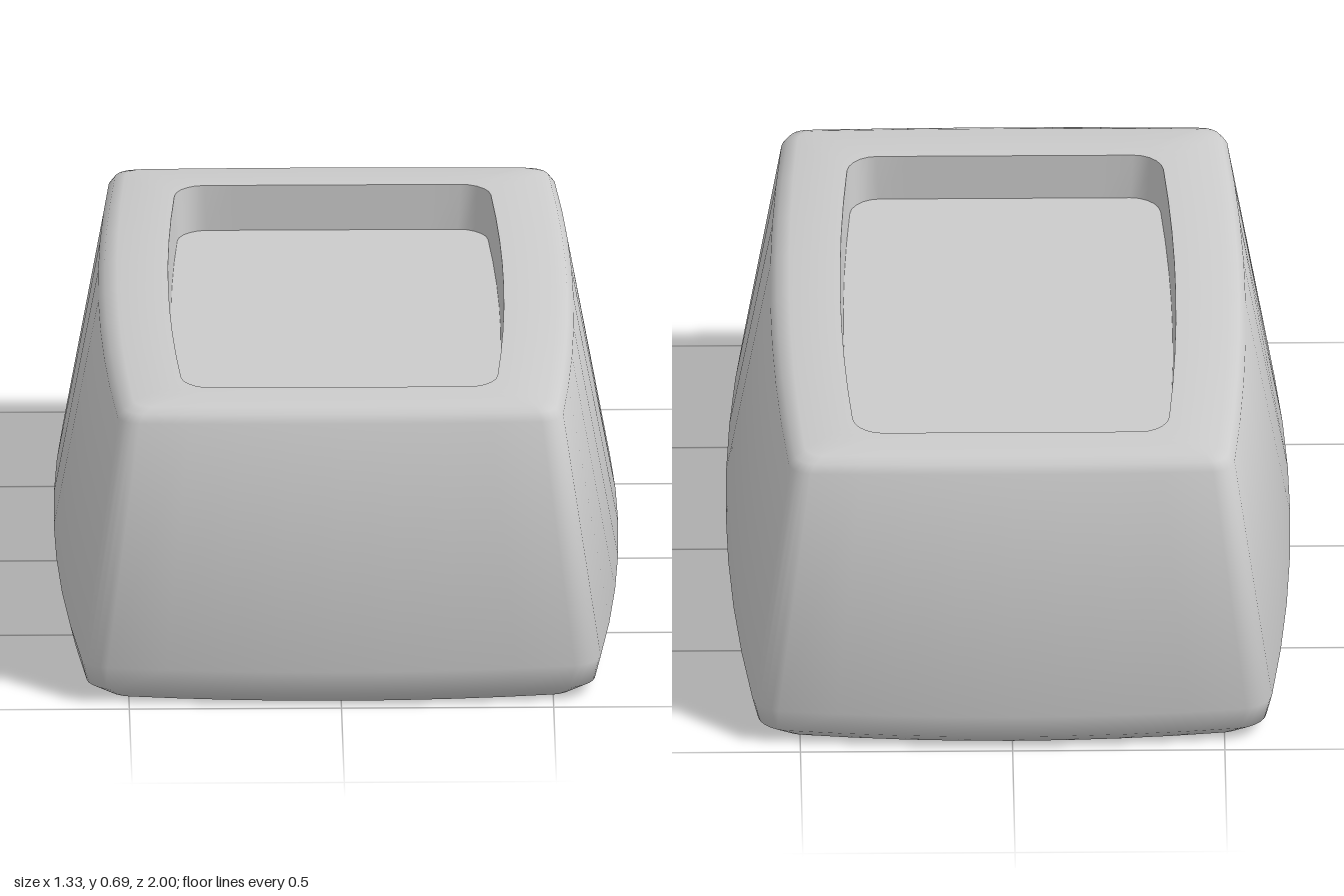
import * as THREE from 'three';
import { toCreasedNormals } from 'three/addons/utils/BufferGeometryUtils.js';

const SIDE = 8, ARC = 5;

// Rounded rectangle whose four sides bow outward; hx, hz are the half sizes at mid-side.
function outline({ y, hx, hz, bx, bz, r, zc = 0 }) {
  const pts = [];
  const corners = [[1, 1], [-1, 1], [-1, -1], [1, -1]];
  corners.forEach(([sx, sz], k) => {
    const cx = sx * (hx - r), cz = sz * (hz - r);
    for (let i = 0; i <= ARC; i++) {
      const a = (k + i / ARC) * Math.PI / 2;
      pts.push([cx + r * Math.cos(a), cz + r * Math.sin(a)]);
    }
    const [nx, nz] = corners[(k + 1) % 4];
    const a = (k + 1) * Math.PI / 2;
    const from = pts[pts.length - 1];
    const to = [nx * (hx - r) + r * Math.cos(a), nz * (hz - r) + r * Math.sin(a)];
    for (let i = 1; i < SIDE; i++) {
      const t = i / SIDE;
      pts.push([from[0] + (to[0] - from[0]) * t, from[1] + (to[1] - from[1]) * t]);
    }
  });
  return pts.map(([x, z]) => [
    x * (1 - bx * (z / hz) ** 2), y, z * (1 - bz * (x / hx) ** 2) + zc,
  ]);
}

// Skin a stack of outlines, optionally closing the first and last with a centre point.
function loft(sections, capStart, capEnd) {
  const rings = sections.map(outline), n = rings[0].length;
  const pos = rings.flat(2), idx = [];
  for (let j = 0; j < rings.length - 1; j++) {
    for (let i = 0; i < n; i++) {
      const a = j * n + i, b = j * n + (i + 1) % n;
      idx.push(a, a + n, b, b, a + n, b + n);
    }
  }
  const cap = (j, flip) => {
    const c = pos.length / 3, s = sections[j];
    pos.push(0, s.y, s.zc || 0);
    for (let i = 0; i < n; i++) {
      const a = j * n + i, b = j * n + (i + 1) % n;
      if (flip) idx.push(c, a, b); else idx.push(c, b, a);
    }
  };
  if (capStart) cap(0, true);
  if (capEnd) cap(rings.length - 1, false);
  const g = new THREE.BufferGeometry();
  g.setAttribute('position', new THREE.Float32BufferAttribute(pos, 3));
  g.setIndex(idx);
  return toCreasedNormals(g, 0.9);
}

export function createModel() {
  const group = new THREE.Group();
  group.name = 'recessedBlock';
  const material = new THREE.MeshStandardMaterial({ color: 0xcccccc });
  const add = (name, geometry) => {
    const mesh = new THREE.Mesh(geometry, material);
    mesh.name = name;
    group.add(mesh);
  };

  // Tapered body: base, bevel, sloping walls, bevelled rim
  const rimEdge = { y: 0.685, hx: 0.395, hz: 0.68, bx: 0.07, bz: 0, r: 0.07, zc: -0.008 };
  add('body', loft([
    { y: 0, hx: 0.6, hz: 0.95, bx: 0.09, bz: 0.045, r: 0.05 },
    { y: 0.03, hx: 0.65, hz: 0.985, bx: 0.09, bz: 0.045, r: 0.06 },
    { y: 0.09, hx: 0.665, hz: 1.0, bx: 0.09, bz: 0.045, r: 0.06 },
    { y: 0.655, hx: 0.56, hz: 0.842, bx: 0.07, bz: 0.012, r: 0.05 },
    { y: 0.675, hx: 0.545, hz: 0.83, bx: 0.07, bz: 0.01, r: 0.045 },
    { y: 0.685, hx: 0.515, hz: 0.805, bx: 0.06, bz: 0.008, r: 0.04 },
    rimEdge,
  ], true, false));

  // Recess walls and floor sunk into the top
  add('recess', loft([
    rimEdge,
    { ...rimEdge, y: 0.575, hx: 0.388, hz: 0.672 },
  ], false, true));

  return group;
}
